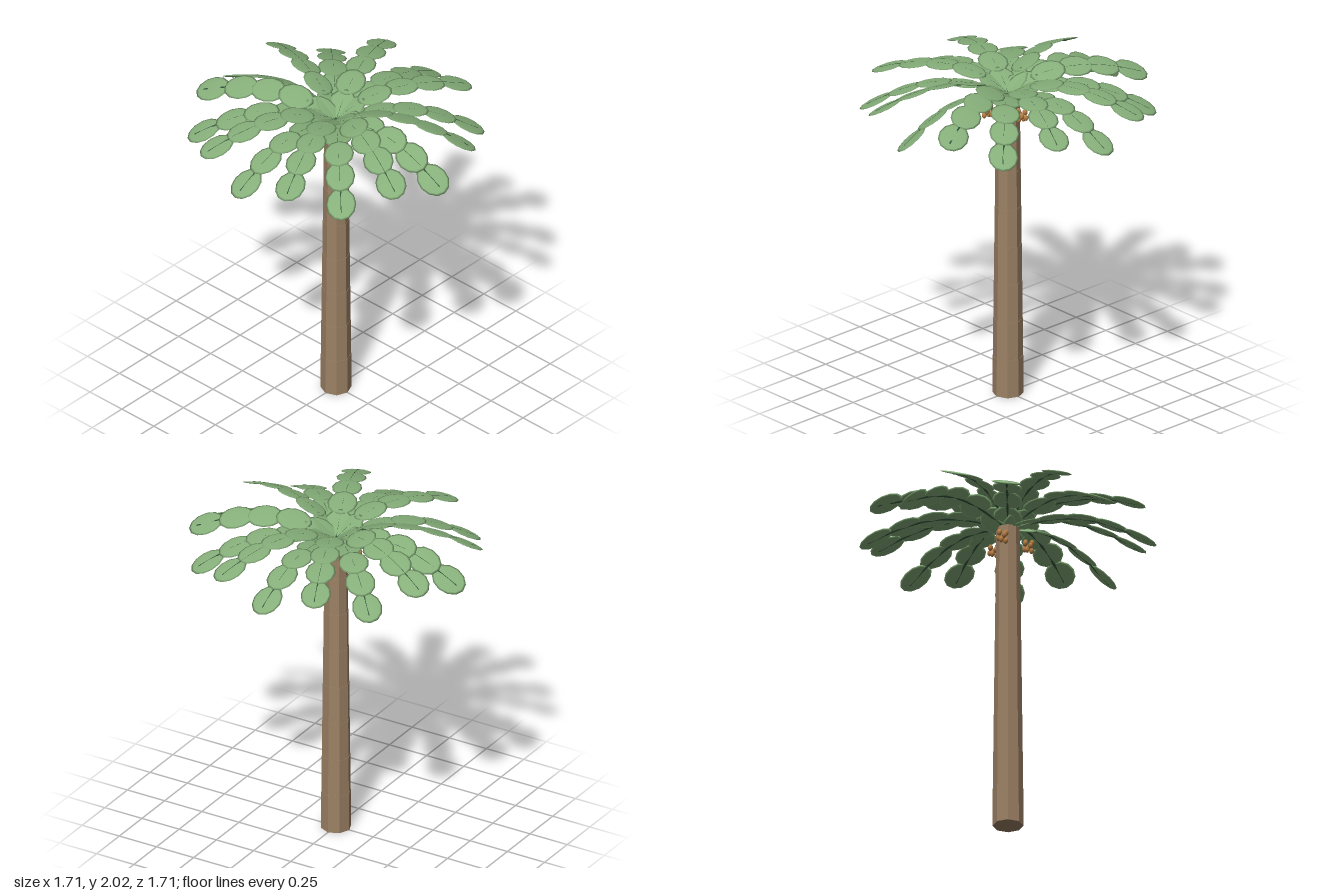
import * as THREE from 'three';

const material = (name, color) => {
  const m = new THREE.MeshStandardMaterial({ color });
  m.name = name;
  return m;
};

export function createModel() {
  const palm = new THREE.Group();
  palm.name = 'palmTree';
  const bark = material('bark brown', 0x9c8165);
  bark.flatShading = true;
  const leafGreen = material('leaf green', 0x86af7a);
  const ribGreen = material('rib dark green', 0x35533a);
  const fruitOrange = material('fruit orange', 0xb97f45);

  const add = (parent, name, geometry, mat) => {
    const mesh = new THREE.Mesh(geometry, mat);
    mesh.name = name;
    parent.add(mesh);
    return mesh;
  };

  // Trunk: stacked eight-sided segments, each with a slight ledge at its top
  const segments = 8, segmentHeight = 0.235;
  const trunkRadius = (i) => 0.089 - 0.0235 * (i / segments);
  for (let i = 0; i < segments; i++) {
    const g = new THREE.CylinderGeometry(trunkRadius(i + 1) + 0.002, trunkRadius(i), segmentHeight, 8);
    add(palm, 'trunkSegment', g, bark).position.y = (i + 0.5) * segmentHeight;
  }

  // Fronds: an upper and a lower ring alternate; each has five oval leaflets along a rib
  const makeCurve = (points) => new THREE.CatmullRomCurve3(points.map(([r, y]) => new THREE.Vector3(r, y, 0)));
  const curves = [
    makeCurve([[0, 1.875], [0.12, 1.912], [0.25, 1.94], [0.42, 1.942], [0.6, 1.895], [0.85, 1.775]]),
    makeCurve([[0, 1.875], [0.12, 1.94], [0.25, 1.98], [0.43, 1.987], [0.62, 1.955], [0.85, 1.875]]),
  ];
  const leafletGeometry = new THREE.SphereGeometry(1, 12, 6);
  const leafletSpots = [0.11, 0.3, 0.49, 0.68, 0.885];
  const ribGeometries = curves.map((curve) => {
    const points = curve.getSpacedPoints(20).slice(0, 20);
    return new THREE.TubeGeometry(new THREE.CatmullRomCurve3(points), 20, 0.008, 5);
  });

  for (let k = 0; k < 16; k++) {
    const angle = (k * Math.PI) / 8;
    const curve = curves[k % 2];
    const frond = new THREE.Group();
    frond.name = k % 2 ? 'upperFrond' : 'lowerFrond';
    frond.rotation.y = -angle;
    palm.add(frond);

    // Leaflets roll sideways on fronds that point to the front and back
    const side = k < 4 || k >= 12 ? 1 : -1;
    const roll = -side * Math.sign(Math.sin(angle)) * 0.45 * Math.sin(angle) ** 4;
    leafletSpots.forEach((t) => {
      const leaflet = add(frond, 'leaflet', leafletGeometry, leafGreen);
      const tangent = curve.getTangentAt(t);
      leaflet.position.copy(curve.getPointAt(t));
      leaflet.rotation.set(roll, 0, Math.atan2(tangent.y, tangent.x), 'ZYX');
      leaflet.scale.set(0.107, 0.007, 0.087);
    });
    add(frond, 'rib', ribGeometries[k % 2], ribGreen);
  }

  // Fruit: three hanging clusters around the top of the trunk
  let seed = 7;
  const random = () => (seed = (seed * 16807) % 2147483647) / 2147483647;
  const fruitGeometry = new THREE.SphereGeometry(0.014, 8, 6);
  for (let c = 0; c < 3; c++) {
    const cluster = new THREE.Group();
    cluster.name = 'fruitCluster';
    const a = (c * Math.PI * 2) / 3;
    cluster.position.set(0.12 * Math.cos(a), 1.78, 0.12 * Math.sin(a));
    palm.add(cluster);
    for (let i = 0; i < 8; i++) {
      const fruit = add(cluster, 'fruit', fruitGeometry, fruitOrange);
      const b = i * 2.4;
      fruit.position.set(0.022 * Math.cos(b), 0.03 - i * 0.009 + 0.008 * random(), 0.022 * Math.sin(b));
      fruit.scale.y = 1.35;
    }
  }
  return palm;
}
